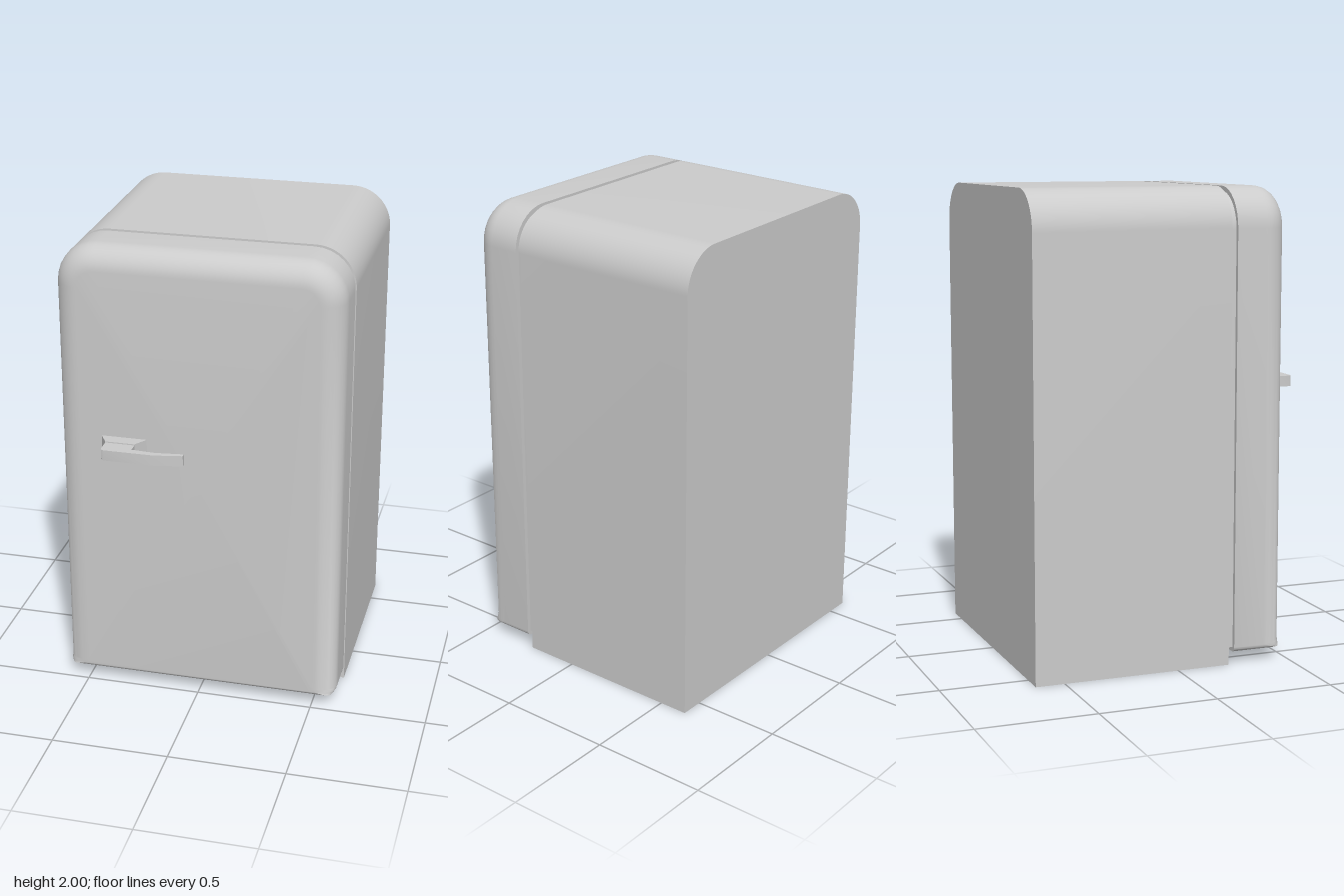
import * as THREE from 'three';
import { toCreasedNormals } from 'three/addons/utils/BufferGeometryUtils.js';

const grey = new THREE.MeshStandardMaterial({ color: 0xcccccc });

function part(name, geometry) {
  const mesh = new THREE.Mesh(toCreasedNormals(geometry, 0.6), grey);
  mesh.name = name;
  return mesh;
}

// Upright slab with two rounded top corners, running from z0 to z1
function archSlab(name, w, y0, y1, r, z0, z1) {
  const s = new THREE.Shape();
  s.moveTo(-w, y0);
  s.lineTo(w, y0);
  s.lineTo(w, y1 - r);
  s.absarc(w - r, y1 - r, r, 0, Math.PI / 2);
  s.absarc(-w + r, y1 - r, r, Math.PI / 2, Math.PI);
  s.closePath();
  const g = new THREE.ExtrudeGeometry(s, { depth: z1 - z0, bevelEnabled: false, curveSegments: 10 });
  return part(name, g.translate(0, 0, z0));
}

// Plan outline (x, z) extruded vertically from y0 to y1
function planPart(name, outline, y0, y1) {
  const s = new THREE.Shape(outline.map(([x, z]) => new THREE.Vector2(x, z)));
  const g = new THREE.ExtrudeGeometry(s, { depth: y1 - y0, bevelEnabled: false });
  return part(name, g.rotateX(Math.PI / 2).translate(0, y1, 0));
}

// Door: rounded outlines lofted forward, with soft sides and top and a tight bottom edge
function doorGeometry() {
  const back = 0.255, front = 0.49, soft = 0.1, tight = 0.03, arc = 8, steps = 10;
  const positions = [], index = [];

  function addRing(angle, isBack) {
    const k = 1 - Math.cos(angle);
    const w = 0.6 - soft * k, top = 2 - soft * k, bottom = 0.05 + tight * k;
    const rTop = 0.17 - soft * k, rBottom = 0.022 - 0.01 * k;
    const corners = [[1, -1], [1, 1], [-1, 1], [-1, -1]];
    corners.forEach(([sx, sy], c) => {
      const r = sy > 0 ? rTop : rBottom;
      const cx = sx * (w - r), cy = sy > 0 ? top - r : bottom + r;
      for (let i = 0; i <= arc; i++) {
        const t = i / arc, a = (c - 1 + t) * Math.PI / 2;
        // The edge depth blends from tight to soft around the lower corners
        const blend = c === 0 ? t : c === 3 ? 1 - t : 1;
        const depth = tight + (soft - tight) * blend;
        const z = isBack ? back : front - depth * (1 - Math.sin(angle));
        positions.push(cx + r * Math.cos(a), cy + r * Math.sin(a), z);
      }
    });
  }

  addRing(0, true);
  for (let j = 0; j <= steps; j++) addRing(j / steps * Math.PI / 2, false);

  const n = 4 * (arc + 1), last = (steps + 1) * n, centre = positions.length / 3;
  positions.push(0, 1, back, 0, 1, front);
  for (let i = 0; i < n; i++) {
    const i2 = (i + 1) % n;
    for (let j = 0; j <= steps; j++) {
      const a = j * n + i, b = j * n + i2;
      index.push(a, b, b + n, a, b + n, a + n);
    }
    index.push(centre, i2, i, centre + 1, last + i, last + i2);
  }
  const g = new THREE.BufferGeometry();
  g.setAttribute('position', new THREE.Float32BufferAttribute(positions, 3));
  g.setIndex(index);
  return g;
}

export function createModel() {
  const model = new THREE.Group();
  model.name = 'refrigerator';

  model.add(archSlab('cabinet', 0.6, 0, 2, 0.17, -0.625, 0.23));
  model.add(archSlab('doorSeal', 0.583, 0.07, 1.98, 0.155, 0.23, 0.255));
  model.add(part('door', doorGeometry()));

  // Handle: flared mount on the door and a lever reaching towards the middle
  const handle = new THREE.Group();
  handle.name = 'handle';
  handle.add(planPart('handleMount', [
    [-0.41, 0.485], [-0.21, 0.485], [-0.25, 0.545], [-0.375, 0.545],
  ], 1.132, 1.188));
  handle.add(planPart('handleLever', [
    [-0.375, 0.54], [-0.25, 0.54], [-0.25, 0.587], [-0.15, 0.594], [-0.03, 0.58],
    [-0.03, 0.598], [-0.15, 0.62], [-0.36, 0.62], [-0.371, 0.616], [-0.375, 0.605],
  ], 1.137, 1.183));
  model.add(handle);

  return model;
}
